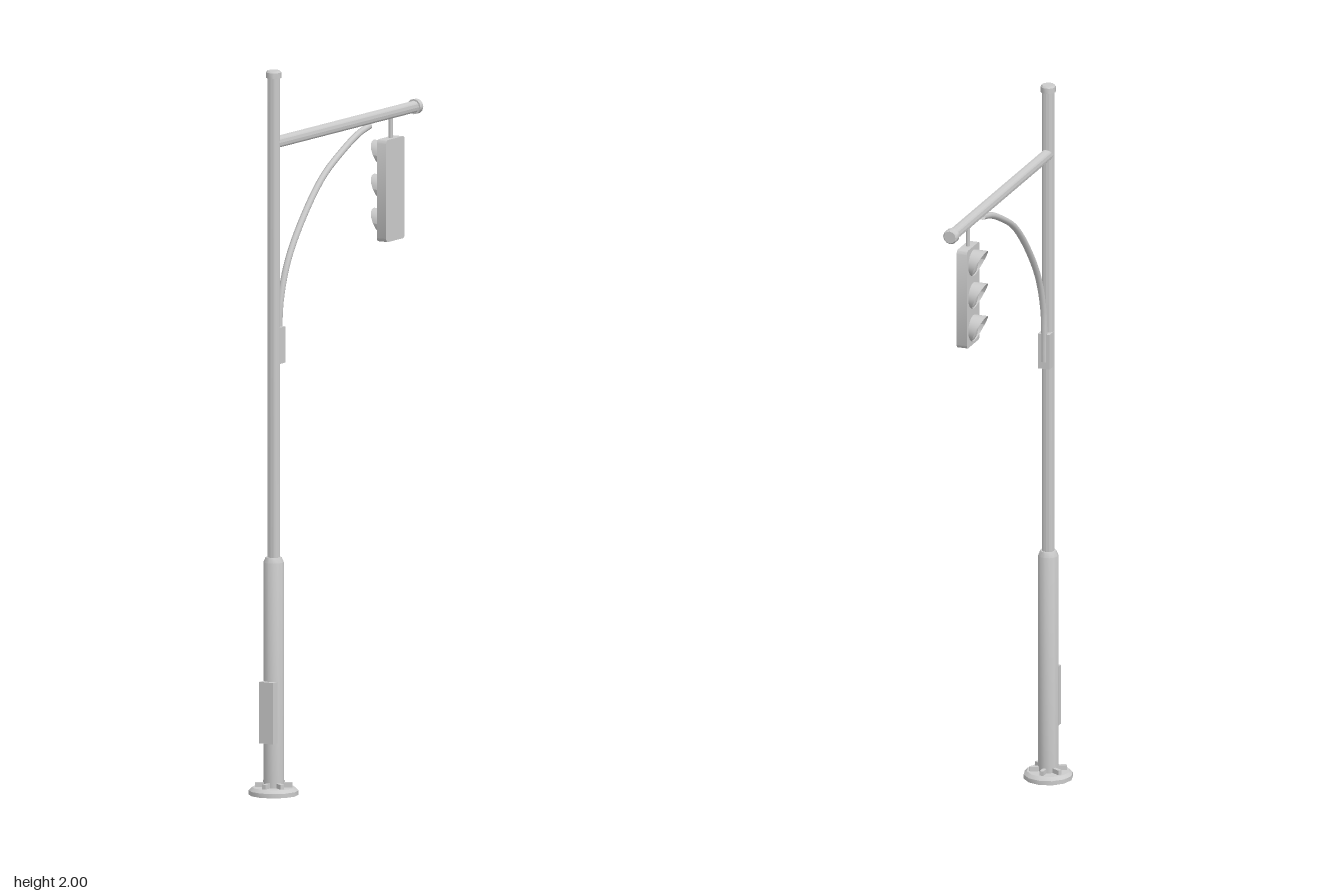
import * as THREE from 'three';
import { toCreasedNormals } from 'three/addons/utils/BufferGeometryUtils.js';

const grey = new THREE.MeshStandardMaterial({ color: 0xcccccc });
const greyDouble = new THREE.MeshStandardMaterial({ color: 0xcccccc, side: THREE.DoubleSide });
const POLE_Z = 0.337, ARM_Y = 1.8, LAMP_Z = -0.267;

function add(parent, name, geometry, x = 0, y = 0, z = 0, material = grey) {
  const mesh = new THREE.Mesh(geometry, material);
  mesh.name = name;
  mesh.position.set(x, y, z);
  parent.add(mesh);
  return mesh;
}

// Turned part from [radius, height] pairs, bottom to top
function turned(profile, sides = 12) {
  const points = profile.map(([r, y]) => new THREE.Vector2(r, y));
  return toCreasedNormals(new THREE.LatheGeometry(points, sides), 0.6);
}

// Tube around -x whose rim slants from a long top to a short bottom
function visorGeometry(radius) {
  const g = new THREE.CylinderGeometry(radius, radius, 1, 16, 1, true);
  const p = g.attributes.position;
  for (let i = 0; i < p.count; i++) {
    const up = p.getX(i), t = p.getY(i) + 0.5;
    const length = 0.003 + 0.036 * Math.pow(Math.max(0, (1 + up / radius) / 2), 1.15);
    p.setXYZ(i, -t * length, up, p.getZ(i));
  }
  g.computeVertexNormals();
  return g;
}

function signalHead() {
  const head = new THREE.Group();
  head.name = 'signalHead';
  head.position.set(0, 1.59, LAMP_Z);

  // Housing: rounded plate extruded along x
  const w = 0.048, h = 0.141, r = 0.01;
  const s = new THREE.Shape();
  s.absarc(w - r, h - r, r, 0, Math.PI / 2);
  s.absarc(-w + r, h - r, r, Math.PI / 2, Math.PI);
  s.absarc(-w + r, -h + r, r, Math.PI, Math.PI * 1.5);
  s.absarc(w - r, -h + r, r, Math.PI * 1.5, Math.PI * 2);
  const plate = new THREE.ExtrudeGeometry(s, { depth: 0.03, bevelEnabled: false, curveSegments: 4 });
  plate.translate(0, 0, -0.015).rotateY(Math.PI / 2);
  add(head, 'housing', toCreasedNormals(plate, 0.6));

  // Three lenses under visors
  for (const y of [0.094, 0, -0.094]) {
    add(head, 'visor', visorGeometry(0.037), -0.015, y, 0, greyDouble);
    const lens = new THREE.SphereGeometry(0.034, 16, 4, 0, Math.PI * 2, 0, Math.PI / 2);
    lens.scale(1, 0.25, 1).rotateZ(Math.PI / 2);
    add(head, 'lens', lens, -0.015, y, 0);
  }

  add(head, 'hanger', new THREE.CylinderGeometry(0.006, 0.006, 0.07, 8), 0, 0.17, 0);
  return head;
}

export function createModel() {
  const model = new THREE.Group();
  model.name = 'streetSignal';

  // Foot flange with radial ribs
  add(model, 'baseFlange', turned([[0.068, 0], [0.068, 0.012], [0.059, 0.021], [0.02, 0.021]]),
    0, 0, POLE_Z, greyDouble);
  for (let i = 0; i < 6; i++) {
    const a = (i * Math.PI) / 3;
    const rib = add(model, 'baseRib', new THREE.BoxGeometry(0.011, 0.018, 0.026),
      Math.sin(a) * 0.038, 0.025, POLE_Z + Math.cos(a) * 0.038);
    rib.rotation.y = a;
  }

  // Pole
  add(model, 'lowerPole', turned([[0, 0.016], [0.028, 0.016], [0.028, 0.642], [0.022, 0.656], [0, 0.656]]),
    0, 0, POLE_Z);
  add(model, 'upperPole', turned([[0.017, 0.64], [0.017, 1.985]]), 0, 0, POLE_Z);
  const cap = [[0, 0], [0.021, 0], [0.021, 0.015], [0.017, 0.02], [0, 0.02]];
  add(model, 'poleCap', turned(cap), 0, 1.98, POLE_Z);
  add(model, 'accessPanel', new THREE.BoxGeometry(0.044, 0.17, 0.03), 0, 0.23, 0.361);

  // Horizontal arm towards the back
  const arm = add(model, 'arm', turned([[0.0165, 0], [0.0165, 0.735]]), 0, ARM_Y, POLE_Z);
  arm.rotation.x = -Math.PI / 2;
  const armCap = add(model, 'armCap', turned(cap), 0, ARM_Y, -0.386);
  armCap.rotation.x = -Math.PI / 2;

  // Curved brace and its bracket on the pole
  const path = new THREE.CatmullRomCurve3([
    [1.21, 0.309], [1.285, 0.308], [1.36, 0.301], [1.46, 0.266], [1.565, 0.192],
    [1.67, 0.085], [1.73, -0.02], [1.765, -0.1], [1.779, -0.157],
  ].map(([y, z]) => new THREE.Vector3(0, y, z)));
  add(model, 'brace', new THREE.TubeGeometry(path, 32, 0.009, 8), 0, 0, 0, greyDouble);
  add(model, 'braceBracket', new THREE.BoxGeometry(0.034, 0.1, 0.03), 0, 1.24, 0.318);

  model.add(signalHead());
  return model;
}
